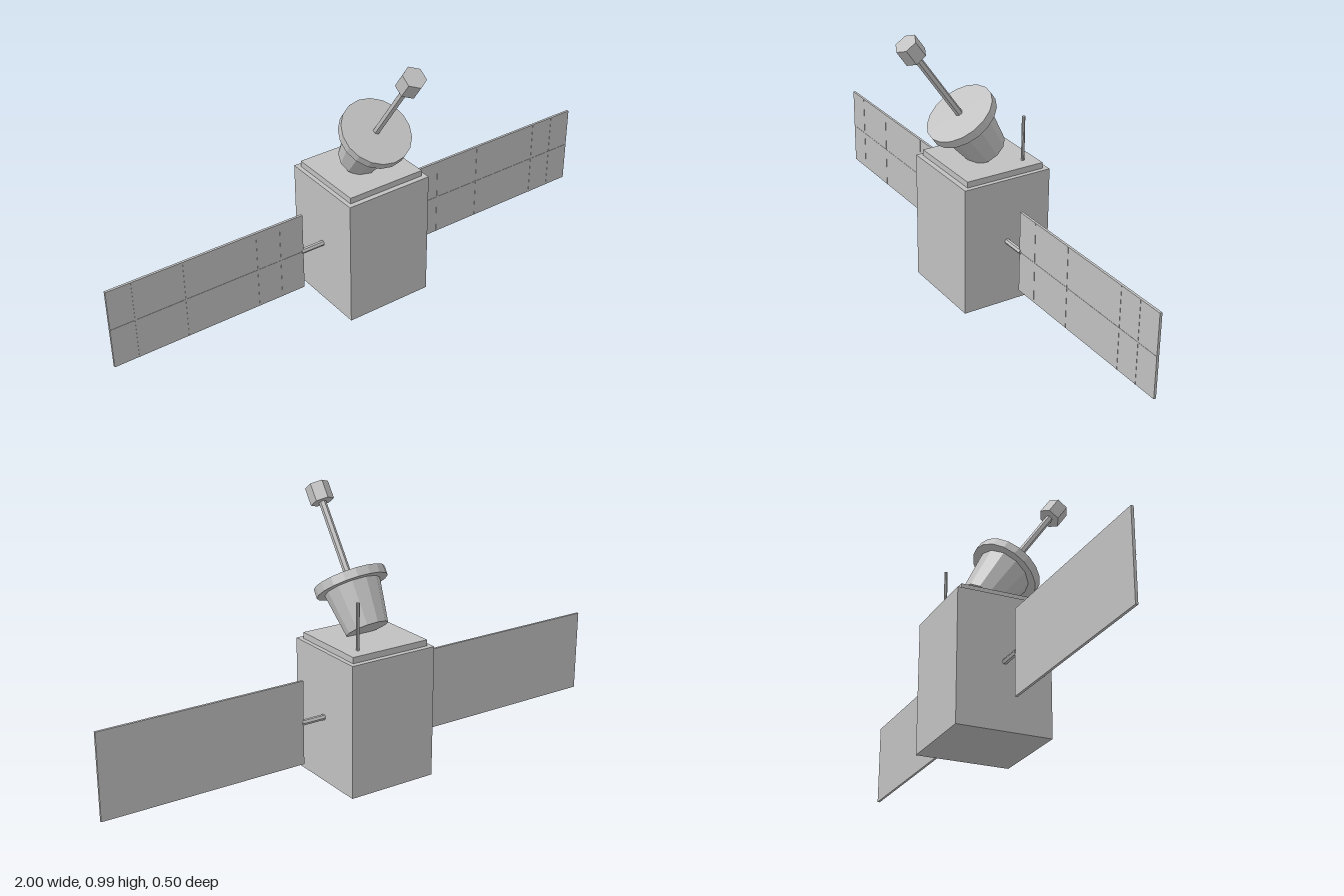
import * as THREE from 'three';

export function createModel() {
  const model = new THREE.Group();
  model.name = 'satellite';
  const grey = new THREE.MeshStandardMaterial({ color: 0xc0c0c0, flatShading: true });
  grey.name = 'grey';

  const add = (parent, name, geometry, x, y, z) => {
    const mesh = new THREE.Mesh(geometry, grey);
    mesh.name = name;
    mesh.position.set(x, y, z);
    parent.add(mesh);
    return mesh;
  };
  const box = (parent, name, w, h, d, x, y, z) =>
    add(parent, name, new THREE.BoxGeometry(w, h, d), x, y, z);
  const cylinder = (parent, name, top, bottom, h, sides, x, y, z) =>
    add(parent, name, new THREE.CylinderGeometry(top, bottom, h, sides), x, y, z);

  // Body, roof plate and whip antenna
  const midZ = -0.08;
  box(model, 'body', 0.336, 0.477, 0.34, 0, 0.2385, midZ);
  box(model, 'roofPlate', 0.304, 0.022, 0.302, 0, 0.488, midZ);
  cylinder(model, 'antenna', 0.006, 0.006, 0.168, 8, 0.1, 0.58, -0.183);

  // Solar wings: the cell pattern repeats unmirrored on both sides
  const wingW = 0.747, wingH = 0.304, wingT = 0.009;
  for (const side of [-1, 1]) {
    const wing = new THREE.Group();
    wing.name = side > 0 ? 'leftWing' : 'rightWing';
    wing.position.set(side * (1 - wingW / 2), 0.24, midZ);
    model.add(wing);
    box(wing, 'solarPanel', wingW, wingH, wingT, 0, 0, 0);
    for (const offset of [0.092, 0.28, 0.561, 0.655]) {
      box(wing, 'panelSeam', 0.004, wingH, 0.002, offset - wingW / 2, 0, wingT / 2);
    }
    box(wing, 'panelMidSeam', wingW, 0.003, 0.002, 0, 0, wingT / 2);
    const strut = cylinder(model, 'wingStrut', 0.01, 0.01, 0.095, 6, side * 0.211, 0.24, midZ);
    strut.rotation.z = Math.PI / 2;
  }

  // Tilted dish, built along its own y axis from the centre of its face
  const dish = new THREE.Group();
  dish.name = 'dish';
  dish.position.set(0, 0.682, 0.013);
  dish.rotation.x = THREE.MathUtils.degToRad(35);
  model.add(dish);
  cylinder(dish, 'dishRim', 0.128, 0.128, 0.032, 18, 0, -0.016, 0);
  cylinder(dish, 'dishCup', 0.1, 0.075, 0.157, 12, 0, -0.1095, 0);
  cylinder(dish, 'feedRod', 0.013, 0.013, 0.29, 6, 0, 0.143, 0);
  cylinder(dish, 'feedHorn', 0.042, 0.042, 0.065, 6, 0, 0.318, 0);

  return model;
}
